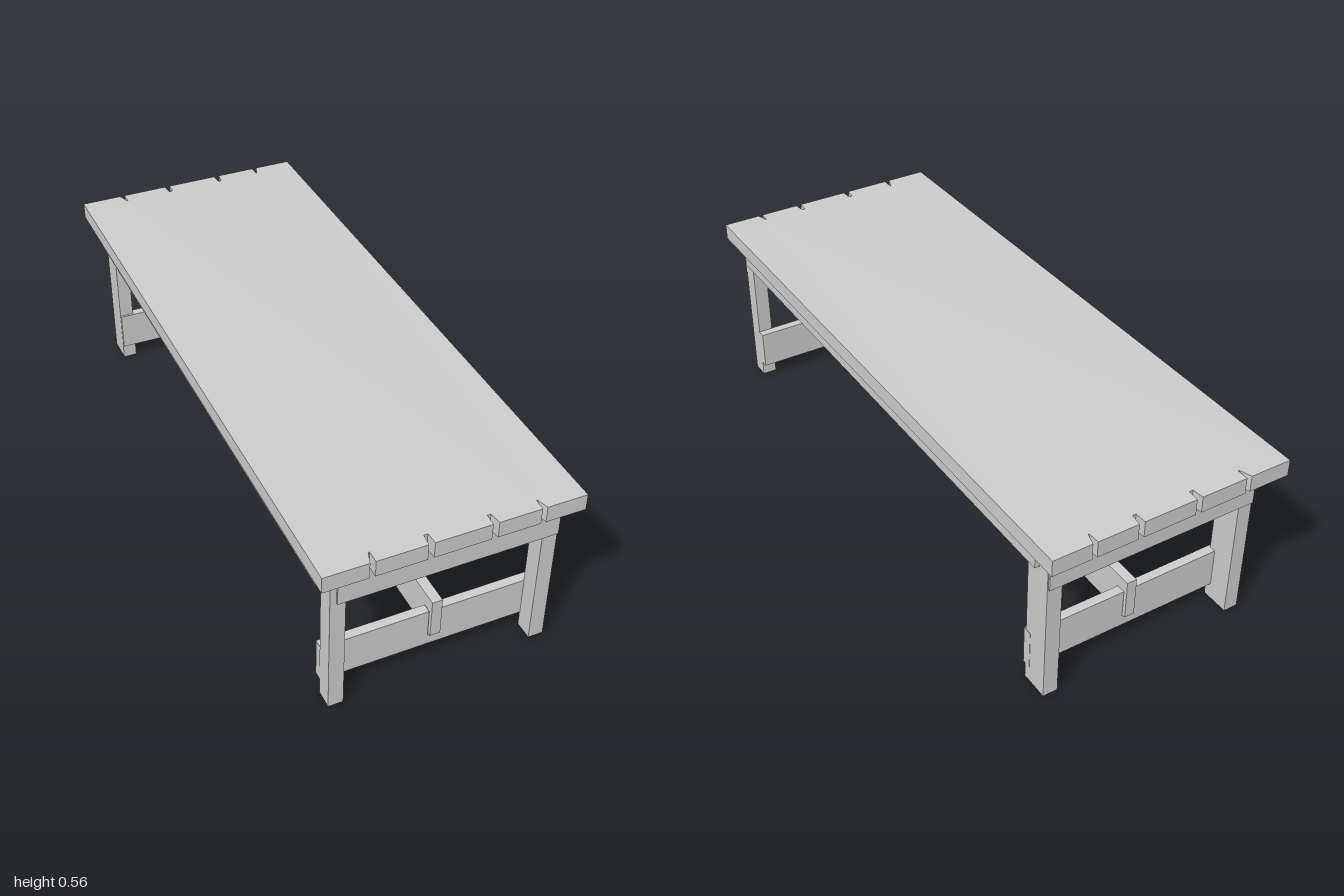
import * as THREE from 'three';

const material = new THREE.MeshStandardMaterial({ color: 0xcccccc, flatShading: true });

function addMesh(group, name, geometry) {
  const mesh = new THREE.Mesh(geometry, material);
  mesh.name = name;
  group.add(mesh);
  return mesh;
}

// Box given by its [min, max] extent on each axis
function addBox(group, name, [x0, x1], [y0, y1], [z0, z1]) {
  const mesh = addMesh(group, name, new THREE.BoxGeometry(x1 - x0, y1 - y0, z1 - z0));
  mesh.position.set((x0 + x1) / 2, (y0 + y1) / 2, (z0 + z1) / 2);
}

export function createModel() {
  const table = new THREE.Group();
  table.name = 'table';

  // Tabletop outline; each notch is [outer left, inner left, inner right, outer right]
  const notches = [
    [-0.252, -0.24, -0.236, -0.236],
    [-0.087, -0.083, -0.071, -0.069],
    [0.1, 0.102, 0.113, 0.118],
    [0.247, 0.249, 0.251, 0.262],
  ];
  const half = 0.385, depth = 0.037;
  const edge = [[-half, -1]];
  for (const [a, b, c, d] of notches) {
    edge.push([a, -1], [b, -1 + depth], [c, -1 + depth], [d, -1]);
  }
  edge.push([half, -1]);
  const otherEdge = edge.map(([x, z]) => [x, -z]).reverse();
  const outline = new THREE.Shape([...edge, ...otherEdge].map(([x, z]) => new THREE.Vector2(x, z)));
  const topGeometry = new THREE.ExtrudeGeometry(outline, { depth: 0.052, bevelEnabled: false });
  topGeometry.rotateX(Math.PI / 2);
  addMesh(table, 'tabletop', topGeometry).position.y = 0.565;

  // Stretcher board with an open slot for the long beam
  const slotted = new THREE.Shape([
    [-0.333, 0.051], [0.349, 0.051], [0.349, 0.179], [0.036, 0.179],
    [0.036, 0.085], [-0.002, 0.085], [-0.002, 0.179], [-0.333, 0.179],
  ].map(([x, y]) => new THREE.Vector2(x, y)));

  // The two end frames: legs, apron and slotted stretcher
  const ends = [
    { name: 'front', leg: [0.884, 0.942], apron: [0.92, 0.948], apronX: [-0.315, 0.3475], stretcher: 0.857 },
    { name: 'back', leg: [-0.932, -0.841], apron: [-0.938, -0.91], apronX: [-0.333, 0.345], stretcher: -0.862 },
  ];
  for (const end of ends) {
    const frame = new THREE.Group();
    frame.name = end.name + 'Frame';
    addBox(frame, 'rightLeg', [-0.334, -0.288], [0, 0.513], end.leg);
    addBox(frame, 'leftLeg', [0.301, 0.348], [0, 0.513], end.leg);
    addBox(frame, 'apron', end.apronX, [0.395, 0.488], end.apron);
    const board = new THREE.ExtrudeGeometry(slotted, { depth: 0.029, bevelEnabled: false });
    addMesh(frame, 'stretcher', board).position.z = end.stretcher;
    table.add(frame);
  }

  // Long rails outside the legs, under the top
  addBox(table, 'rightRail', [-0.36, -0.332], [0.448, 0.509], [-0.893, 0.905]);
  addBox(table, 'leftRail', [0.336, 0.363], [0.448, 0.509], [-0.893, 0.905]);

  // Long beam resting in the stretcher slots
  addBox(table, 'centreBeam', [0.002, 0.034], [0.088, 0.217], [-0.872, 0.893]);

  return table;
}
